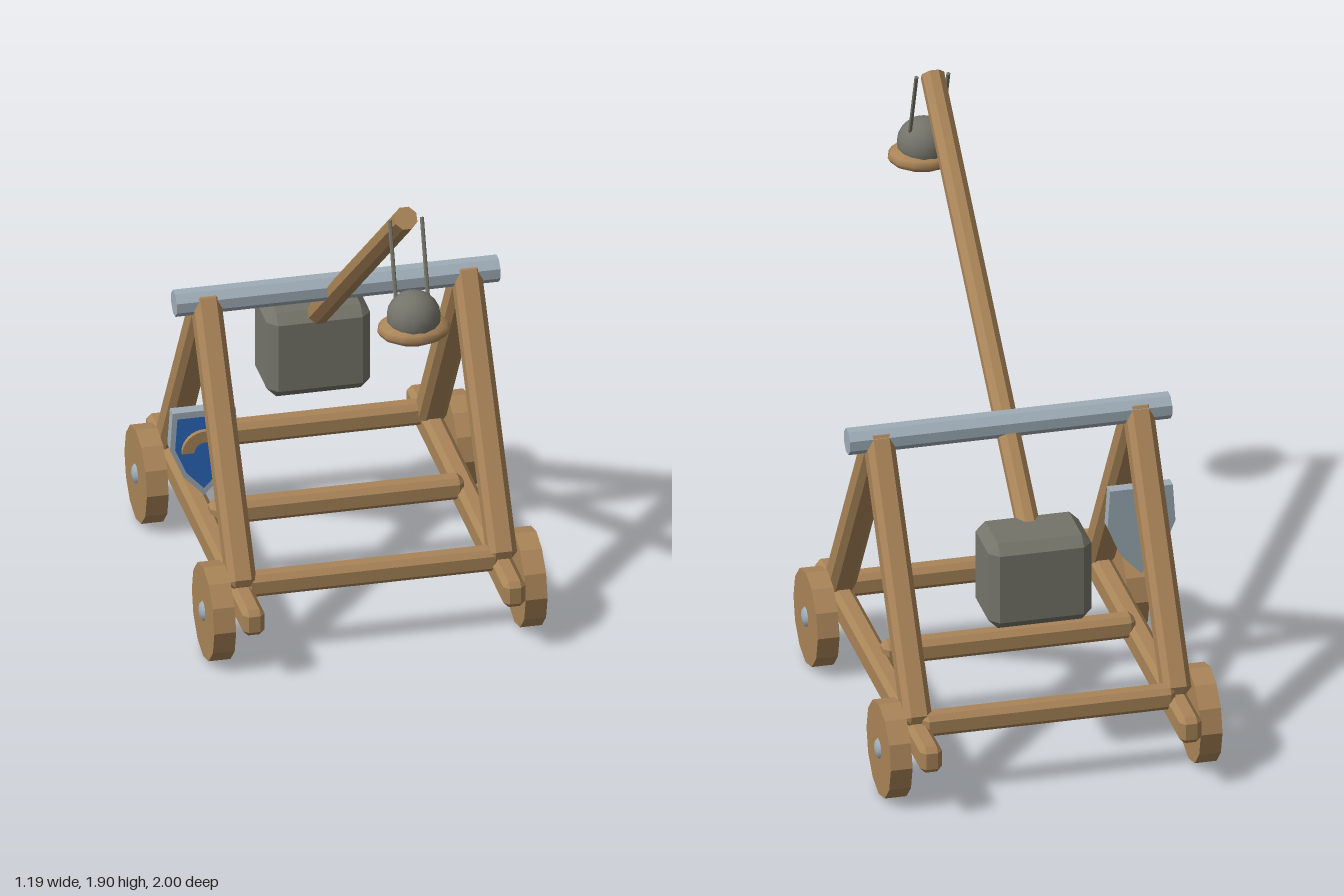
import * as THREE from 'three';
import { ConvexGeometry } from 'three/addons/geometries/ConvexGeometry.js';

const paint = (name, color) => {
  const m = new THREE.MeshStandardMaterial({ color });
  m.name = name;
  return m;
};
const wood = paint('wood', 0xa98458);
const metal = paint('metal', 0x9fadb8);
const stone = paint('stone', 0x75746a);
const blue = paint('shieldBlue', 0x2b68bd);

const CX = 0.005; // centre line of the frame
const V = (x, y, z) => new THREE.Vector3(x, y, z);

// faceted normals
function flat(geometry) {
  const g = geometry.index ? geometry.toNonIndexed() : geometry;
  g.computeVertexNormals();
  return g;
}

// box with every edge chamfered by c
function chamferBox(w, h, d, c) {
  const pts = [];
  for (const sx of [-1, 1]) for (const sy of [-1, 1]) for (const sz of [-1, 1]) {
    const x = w / 2, y = h / 2, z = d / 2;
    pts.push(V(sx * x, sy * (y - c), sz * (z - c)));
    pts.push(V(sx * (x - c), sy * y, sz * (z - c)));
    pts.push(V(sx * (x - c), sy * (y - c), sz * z));
  }
  return flat(new ConvexGeometry(pts));
}

export function createModel() {
  const model = new THREE.Group();
  model.name = 'trebuchet';

  const add = (name, geometry, material, x = 0, y = 0, z = 0) => {
    const mesh = new THREE.Mesh(geometry, material);
    mesh.name = name;
    mesh.position.set(x, y, z);
    model.add(mesh);
    return mesh;
  };

  // chamfered timber between two points
  const beam = (name, a, b, w, h, c) => {
    const mid = a.clone().add(b).multiplyScalar(0.5);
    add(name, chamferBox(w, h, a.distanceTo(b), c), wood, mid.x, mid.y, mid.z).lookAt(b);
  };

  // faceted round pole between two points
  const pole = (name, a, b, r, sides, material) => {
    const g = new THREE.CylinderGeometry(r, r, a.distanceTo(b), sides);
    g.rotateY(Math.PI / sides);
    const mid = a.clone().add(b).multiplyScalar(0.5);
    const mesh = add(name, flat(g), material, mid.x, mid.y, mid.z);
    mesh.quaternion.setFromUnitVectors(V(0, 1, 0), b.clone().sub(a).normalize());
  };

  // base rails, A-frame legs and wheels on both sides
  for (const s of [-1, 1]) {
    const side = s > 0 ? 'left' : 'right';
    const x = CX + s * 0.447;
    beam(side + 'Rail', V(x, 0.222, -1.0), V(x, 0.222, 0.47), 0.075, 0.095, 0.018);
    beam(side + 'FrontLeg', V(x, 0.26, 0.275), V(x, 1.09, -0.273), 0.095, 0.095, 0.02);
    beam(side + 'BackLeg', V(x, 0.26, -0.795), V(x, 1.09, -0.247), 0.095, 0.095, 0.02);

    for (const z of [0.24, -0.76]) {
      const wheel = new THREE.CylinderGeometry(0.167, 0.167, 0.075, 12);
      wheel.rotateZ(Math.PI / 2);
      add(side + 'Wheel', flat(wheel), wood, CX + s * 0.534, 0.167, z);
      const hub = new THREE.SphereGeometry(0.036, 10, 6);
      hub.scale(0.55, 1, 1);
      add(side + 'Hub', hub, metal, CX + s * 0.567, 0.17, z);
    }
  }

  // cross members
  for (const z of [0.262, -0.26, -0.803]) {
    beam('crossBeam', V(CX - 0.435, 0.265, z), V(CX + 0.435, 0.265, z), 0.075, 0.08, 0.018);
  }

  // pivot bar, throwing arm and counterweight
  pole('pivotBar', V(CX - 0.555, 1.072, -0.262), V(CX + 0.555, 1.072, -0.262), 0.046, 8, metal);
  pole('throwingArm', V(CX, 0.81, -0.55), V(CX, 1.867, 0.775), 0.041, 8, wood);
  add('counterweight', chamferBox(0.355, 0.315, 0.24, 0.033), stone, CX, 0.693, -0.608);

  // sling ropes, dish and stone ball
  for (const s of [-1, 1]) {
    pole('slingRope', V(CX + s * 0.055, 1.865, 0.775), V(CX + s * 0.055, 1.57, 0.88), 0.007, 6, stone);
  }
  const dish = new THREE.SphereGeometry(1, 12, 8);
  dish.scale(0.125, 0.044, 0.106);
  add('slingDish', dish, wood, CX, 1.513, 0.892);
  add('stoneBall', new THREE.SphereGeometry(0.092, 14, 10), stone, CX, 1.556, 0.892);

  // shield: metal backing, raised rim, blue face and wooden arch
  const outline = (k) => [
    [-0.108, 0.155], [0.108, 0.155], [0.117, 0.02], [0.07, -0.09],
    [0, -0.165], [-0.07, -0.09], [-0.117, 0.02],
  ].map(([x, y]) => new THREE.Vector2(x * k, y * k));
  const slab = (shape, depth) =>
    flat(new THREE.ExtrudeGeometry(shape, { depth, bevelEnabled: false, curveSegments: 8 }));
  const sx = -0.477, sy = 0.57;

  add('shieldBack', slab(new THREE.Shape(outline(1)), 0.03), metal, sx, sy, -0.173);
  const rim = new THREE.Shape(outline(1));
  rim.holes.push(new THREE.Path(outline(0.85)));
  add('shieldRim', slab(rim, 0.012), metal, sx, sy, -0.143);
  add('shieldFace', slab(new THREE.Shape(outline(0.85)), 0.009), blue, sx, sy, -0.143);

  const arch = new THREE.Shape();
  arch.absarc(0, 0, 0.078, 0, Math.PI, false);
  arch.absarc(0, 0, 0.036, Math.PI, 0, true);
  add('shieldArch', slab(arch, 0.018), wood, sx, 0.575, -0.135);

  return model;
}
